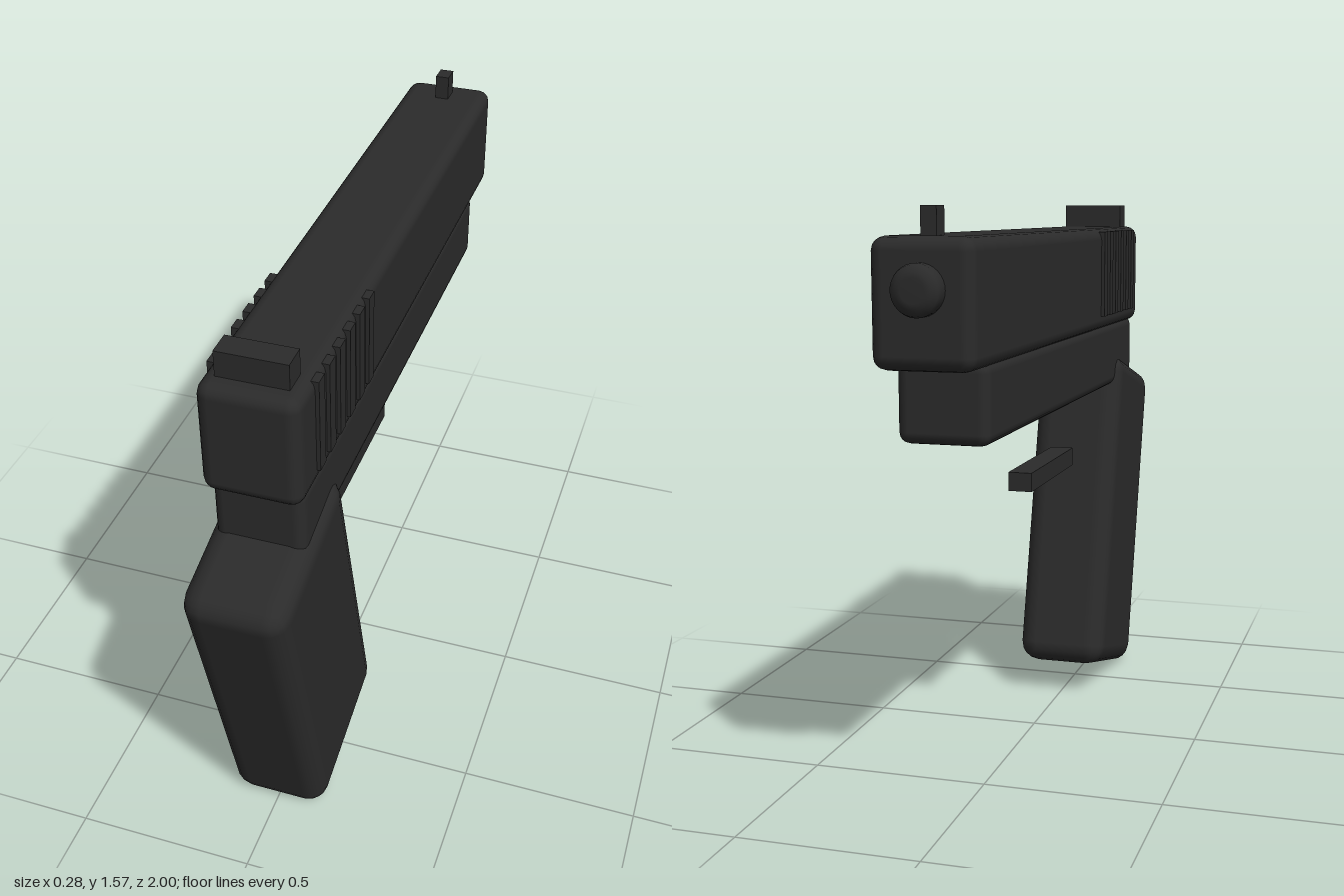
import * as THREE from 'three';
import { RoundedBoxGeometry } from 'three/addons/geometries/RoundedBoxGeometry.js';

export function createModel() {
  const model = new THREE.Group();
  const darkGrey = new THREE.MeshStandardMaterial({ color: 0x2b2b2b });
  darkGrey.name = 'darkGrey';

  // Adds a box, rounded when a radius is given
  function box(name, size, position, radius = 0) {
    const geometry = radius
      ? new RoundedBoxGeometry(...size, 2, radius)
      : new THREE.BoxGeometry(...size);
    const mesh = new THREE.Mesh(geometry, darkGrey);
    mesh.name = name;
    mesh.position.set(...position);
    model.add(mesh);
    return mesh;
  }

  // Long upper body and the narrower frame below it
  box('slide', [0.26, 0.315, 1.78], [0, 1.3475, -0.06], 0.035);
  box('frame', [0.24, 0.21, 1.6], [0, 1.1, -0.01], 0.03);

  // Handle, leaning back at the top
  const grip = box('grip', [0.28, 1.025, 0.488], [0, 0.545, 0.645], 0.06);
  grip.rotation.x = 0.262;

  // Bar in front of the handle
  box('guardBar', [0.07, 0.055, 0.47], [0, 0.787, 0.085]);

  // Sights on top
  box('rearSight', [0.186, 0.085, 0.07], [0, 1.5325, 0.745]);
  box('frontSight', [0.04, 0.085, 0.055], [0, 1.5325, -0.858]);

  // Raised ribs along both sides of the slide
  for (const side of [-1, 1]) {
    for (let i = 0; i < 6; i++) {
      box('rib', [0.025, 0.26, 0.04], [side * 0.1275, 1.365, 0.697 - i * 0.0756]);
    }
  }

  // Round barrel end with a softened rim
  const profile = [
    [0, -0.08], [0.063, -0.08], [0.063, 0.025], [0.059, 0.037], [0.044, 0.048], [0.03, 0.05], [0, 0.05],
  ].map(([r, h]) => new THREE.Vector2(r, h));
  const barrel = new THREE.Mesh(new THREE.LatheGeometry(profile, 32), darkGrey);
  barrel.name = 'barrel';
  barrel.rotation.x = -Math.PI / 2;
  barrel.position.set(0, 1.382, -0.95);
  model.add(barrel);

  return model;
}
